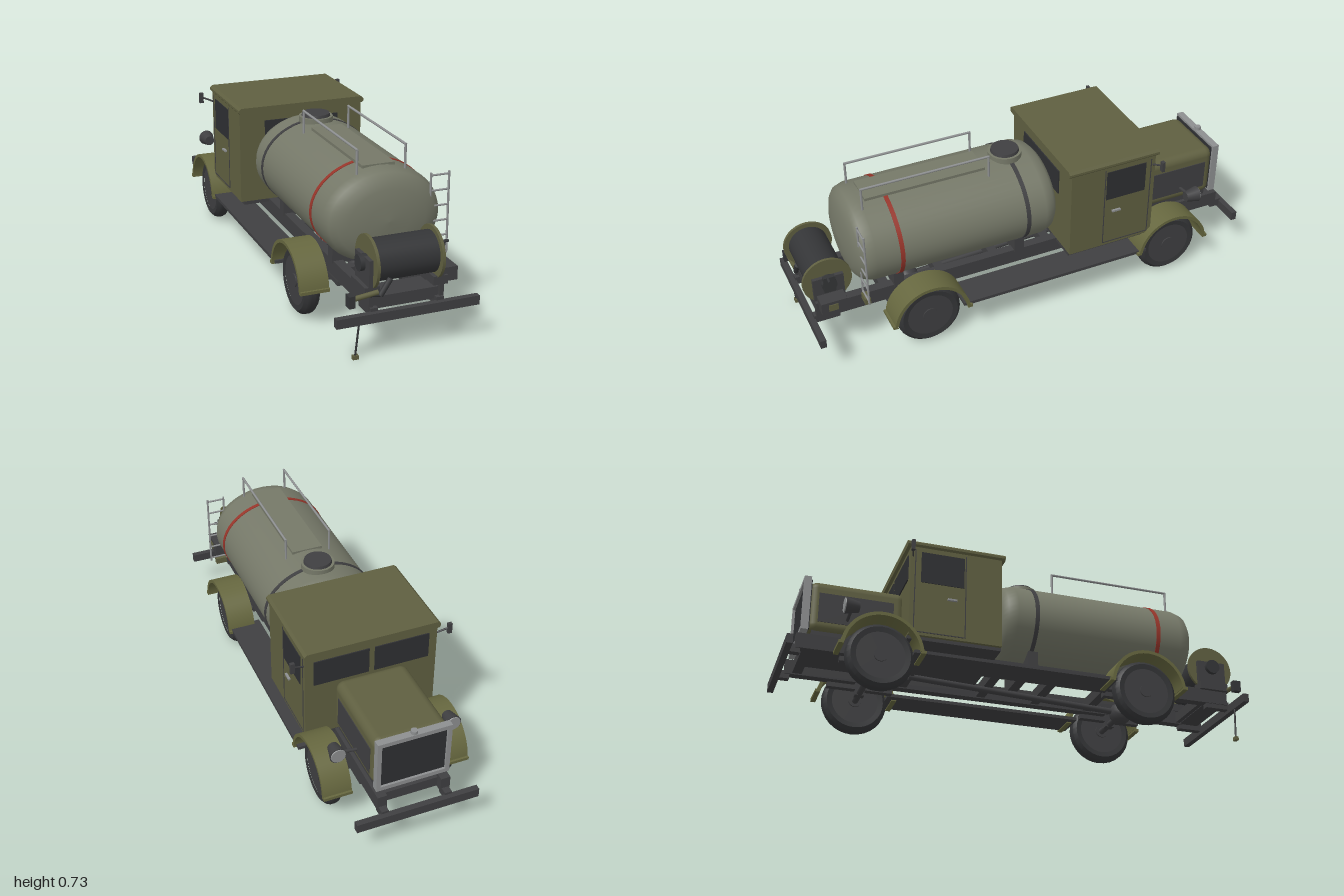
import * as THREE from 'three';
import { toCreasedNormals } from 'three/addons/utils/BufferGeometryUtils.js';
import { RoundedBoxGeometry } from 'three/addons/geometries/RoundedBoxGeometry.js';

const paint = (name, color) => Object.assign(new THREE.MeshStandardMaterial({ color }), { name });
const olive = paint('olive', 0x5f5f40);
const fenderOlive = paint('fender olive', 0x66673f);
const tankGrey = paint('tank grey green', 0x757868);
const dark = paint('chassis dark grey', 0x3f3f41);
const tyreMat = paint('tyre black', 0x343537);
const glass = paint('dark glass', 0x2e2f32);
const metal = paint('bare metal', 0x8d8f90);
const red = paint('red', 0x96352a);
fenderOlive.side = THREE.DoubleSide;

export function createModel() {
  const model = new THREE.Group();
  const V = (x, y, z) => new THREE.Vector3(x, y, z);
  const add = (name, geo, mat, x = 0, y = 0, z = 0) => {
    const m = new THREE.Mesh(geo, mat);
    m.name = name;
    m.position.set(x, y, z);
    model.add(m);
    return m;
  };
  // Box given by its minimum and maximum corners
  const box = (name, mat, x0, x1, y0, y1, z0, z1) =>
    add(name, new THREE.BoxGeometry(x1 - x0, y1 - y0, z1 - z0), mat, (x0 + x1) / 2, (y0 + y1) / 2, (z0 + z1) / 2);
  // Round bar between two points
  const rod = (name, mat, a, b, r, r2 = r, n = 12) => {
    const m = add(name, new THREE.CylinderGeometry(r2, r, a.distanceTo(b), n), mat);
    m.position.copy(a).add(b).multiplyScalar(0.5);
    m.quaternion.setFromUnitVectors(V(0, 1, 0), b.clone().sub(a).normalize());
    return m;
  };
  const lathe = (pts, n) => toCreasedNormals(new THREE.LatheGeometry(pts.map(p => new THREE.Vector2(...p)), n), 0.5);

  // Chassis rails, cross members and bumpers
  for (const s of [-1, 1]) {
    box('frameRail', dark, s * 0.135 - 0.02, s * 0.135 + 0.02, 0.185, 0.25, -0.95, 0.88);
    box('bumperBracket', dark, s * 0.135 - 0.015, s * 0.135 + 0.015, 0.165, 0.2, -0.98, -0.93);
    box('rearBumperBracket', dark, s * 0.135 - 0.015, s * 0.135 + 0.015, 0.165, 0.2, 0.86, 0.97);
    box('runningBoard', dark, s * 0.235 - 0.07, s * 0.235 + 0.07, 0.16, 0.174, -0.5, 0.37);
  }
  for (const z of [-0.9, -0.45, -0.1, 0.15, 0.4, 0.65, 0.86])
    box('crossMember', dark, -0.135, 0.135, 0.19, 0.235, z - 0.02, z + 0.02);
  box('frontBumper', dark, -0.26, 0.26, 0.15, 0.19, -1, -0.975);
  box('rearBumper', dark, -0.293, 0.293, 0.15, 0.187, 0.965, 0.99);

  // Axles, wheels and fenders
  const tyreProfile = [[0.1, -0.03], [0.122, -0.033], [0.136, -0.02], [0.14, -0.008], [0.14, 0.008], [0.136, 0.02], [0.122, 0.033], [0.1, 0.03]];
  const tyreGeo = lathe(tyreProfile, 32).rotateZ(-Math.PI / 2);
  const rimGeo = new THREE.CylinderGeometry(0.104, 0.104, 0.056, 28).rotateZ(Math.PI / 2);
  const hubGeo = new THREE.CylinderGeometry(0.028, 0.032, 0.066, 16).rotateZ(Math.PI / 2);
  const arch = new THREE.Shape();
  arch.absarc(0, 0, 0.168, 0.12, Math.PI - 0.12, false);
  arch.absarc(0, 0, 0.154, Math.PI - 0.12, 0.12, true);
  const fenderGeo = toCreasedNormals(new THREE.ExtrudeGeometry(arch, { depth: 0.122, bevelEnabled: false, curveSegments: 20 })
    .translate(0, 0, -0.061).rotateY(Math.PI / 2), 0.5);
  for (const z of [0.512, -0.63]) {
    rod('axle', dark, V(-0.23, 0.142, z), V(0.23, 0.142, z), 0.014);
    for (const s of [-1, 1]) {
      add('tyre', tyreGeo, tyreMat, s * 0.248, 0.143, z);
      add('rim', rimGeo, dark, s * 0.248, 0.143, z);
      add('hub', hubGeo, dark, s * 0.248, 0.143, z);
      add('fender', fenderGeo, fenderOlive, s * 0.256, 0.145, z);
      box('fenderFoot', fenderOlive, s * 0.256 - 0.061, s * 0.256 + 0.061, 0.155, 0.168, z - 0.176, z - 0.155);
      box('fenderFoot', fenderOlive, s * 0.256 - 0.061, s * 0.256 + 0.061, 0.155, 0.168, z + 0.155, z + 0.176);
      box('leafSpring', dark, s * 0.135 - 0.014, s * 0.135 + 0.014, 0.155, 0.175, z - 0.14, z + 0.14);
      box('springClamp', dark, s * 0.135 - 0.016, s * 0.135 + 0.016, 0.13, 0.19, z - 0.02, z + 0.02);
    }
  }
  add('differential', new THREE.SphereGeometry(0.05, 12, 8), dark, 0, 0.147, 0.512);
  rod('driveShaft', dark, V(0, 0.15, 0.5), V(0, 0.19, -0.45), 0.013);

  // Cab with overhanging roof
  box('cabBody', olive, -0.284, 0.284, 0.25, 0.658, -0.525, -0.13);
  const roof = new THREE.Shape();
  [[-0.284, 0.652], [0.284, 0.652], [0.291, 0.66], [0.291, 0.67], [0.28, 0.68], [-0.28, 0.68], [-0.291, 0.67], [-0.291, 0.66]]
    .forEach((p, i) => i ? roof.lineTo(...p) : roof.moveTo(...p));
  add('roof', new THREE.ExtrudeGeometry(roof, { depth: 0.424, bevelEnabled: false }), olive, 0, 0, -0.54);
  box('rearWindow', glass, -0.17, 0.17, 0.5, 0.613, -0.132, -0.125);
  for (const s of [-1, 1]) {
    box('windscreen', glass, s * 0.13 - 0.118, s * 0.13 + 0.118, 0.51, 0.625, -0.53, -0.523);
    box('sideWindow', glass, s * 0.284 - 0.003, s * 0.284 + 0.003, 0.49, 0.63, -0.48, -0.295);
    // Door outline
    for (const z of [-0.288, -0.505])
      box('doorSeam', dark, s * 0.284 - 0.002, s * 0.284 + 0.002, 0.262, 0.64, z - 0.002, z + 0.002);
    box('doorSeam', dark, s * 0.284 - 0.002, s * 0.284 + 0.002, 0.262, 0.266, -0.505, -0.288);
    box('doorHandle', metal, s * 0.288 - 0.006, s * 0.288 + 0.006, 0.422, 0.43, -0.365, -0.325);
    // Mirror on an arm
    rod('mirrorArm', dark, V(s * 0.28, 0.607, -0.515), V(s * 0.335, 0.63, -0.53), 0.004);
    box('mirror', dark, s * 0.337 - 0.009, s * 0.337 + 0.009, 0.604, 0.65, -0.536, -0.522);
  }
  box('cabSill', dark, -0.27, 0.27, 0.235, 0.252, -0.525, -0.13);

  // Bonnet with louvre panels and radiator
  add('bonnet', new RoundedBoxGeometry(0.31, 0.23, 0.4, 4, 0.035), olive, 0, 0.383, -0.71);
  box('engineBay', dark, -0.14, 0.14, 0.225, 0.29, -0.89, -0.53);
  for (const s of [-1, 1]) {
    box('bonnetPanel', dark, s * 0.155 - 0.003, s * 0.155 + 0.003, 0.31, 0.44, -0.87, -0.56);
    box('radiatorSide', metal, s * 0.146 - 0.009, s * 0.146 + 0.009, 0.27, 0.51, -0.935, -0.905);
    // Headlamp, bracket and lens
    rod('headlampBracket', dark, V(s * 0.14, 0.33, -0.75), V(s * 0.245, 0.345, -0.75), 0.007);
    rod('headlamp', dark, V(s * 0.247, 0.353, -0.72), V(s * 0.247, 0.353, -0.778), 0.022, 0.035, 20);
    rod('headlampLens', metal, V(s * 0.247, 0.353, -0.776), V(s * 0.247, 0.353, -0.782), 0.032, 0.03, 20);
  }
  for (const y of [0.279, 0.501]) box('radiatorBar', metal, -0.155, 0.155, y - 0.009, y + 0.009, -0.935, -0.905);
  box('radiatorCore', glass, -0.145, 0.145, 0.28, 0.5, -0.925, -0.9);
  rod('radiatorCap', metal, V(0, 0.505, -0.92), V(0, 0.525, -0.92), 0.014);

  // Elliptical tank, with bands following its section
  const ry = 0.192, rx = 0.243, cy = 0.458;
  const tankLathe = pts => lathe(pts, 48).rotateX(Math.PI / 2).scale(rx, ry, 1);
  const end = [[0, 0.07], [0.35, 0.066], [0.65, 0.055], [0.83, 0.04], [0.94, 0.02], [1, -0.02]];
  const tankPts = [...end.map(([r, d]) => [r, -0.06 - d]), ...end.map(([r, d]) => [r, 0.73 + d]).reverse()];
  const tankGeo = new THREE.LatheGeometry(tankPts.map(p => new THREE.Vector2(...p)), 48).rotateX(Math.PI / 2).scale(rx, ry, 1);
  add('tank', tankGeo, tankGrey, 0, cy, 0);
  const band = (name, mat, z, w, r) =>
    add(name, tankLathe([[0.98, -w], [r, -w], [r, w], [0.98, w]]), mat, 0, cy, z);
  band('redBand', red, 0.602, 0.009, 1.012);
  band('tankStrap', dark, 0.043, 0.009, 1.012);
  for (const z of [0.05, 0.6]) {
    box('tankSaddle', dark, -0.13, 0.13, 0.24, 0.285, z - 0.022, z + 0.022);
    for (const s of [-1, 1]) box('saddleFoot', dark, s * 0.135 - 0.025, s * 0.135 + 0.025, 0.24, 0.31, z - 0.022, z + 0.022);
  }

  // Filler hatch, walkway and handrails
  rod('hatchCollar', tankGrey, V(0, 0.63, 0.045), V(0, 0.668, 0.045), 0.072, 0.072, 28);
  rod('hatchLid', dark, V(0, 0.665, 0.045), V(0, 0.68, 0.045), 0.062, 0.058, 28);
  box('walkway', tankGrey, -0.068, 0.068, 0.643, 0.655, 0.165, 0.69);
  for (const s of [-1, 1]) {
    rod('handrail', metal, V(s * 0.1, 0.728, 0.158), V(s * 0.1, 0.728, 0.716), 0.005);
    for (const z of [0.162, 0.712]) rod('handrailPost', metal, V(s * 0.1, 0.63, z), V(s * 0.1, 0.73, z), 0.005);
  }

  // Rear ladder
  for (const x of [0.185, 0.262]) rod('ladderPost', metal, V(x, 0.28, 0.765), V(x, 0.618, 0.765), 0.0045);
  for (let i = 0; i < 6; i++) {
    const y = 0.295 + i * 0.0625;
    rod('ladderRung', metal, V(0.185, y, 0.765), V(0.262, y, 0.765), 0.004);
  }
  box('ladderFoot', olive, 0.19, 0.24, 0.262, 0.29, 0.75, 0.775);

  // Hose reel on its stand
  rod('hoseDrum', tyreMat, V(-0.13, 0.36, 0.895), V(0.13, 0.36, 0.895), 0.082, 0.082, 32);
  for (const s of [-1, 1]) {
    rod('reelFlange', olive, V(s * 0.126, 0.357, 0.895), V(s * 0.138, 0.357, 0.895), 0.104, 0.104, 32);
    box('reelStand', dark, s * 0.145 - 0.009, s * 0.145 + 0.009, 0.185, 0.385, 0.83, 0.96);
    rod('reelHub', tyreMat, V(s * 0.13, 0.357, 0.895), V(s * 0.172, 0.357, 0.895), 0.032, 0.032, 20);
    box('standFoot', dark, s * 0.14 - 0.03, s * 0.14 + 0.03, 0.245, 0.28, 0.83, 0.96);
  }
  box('standBeam', dark, -0.155, 0.155, 0.187, 0.235, 0.86, 0.95);
  box('pumpBox', dark, 0.15, 0.215, 0.25, 0.305, 0.84, 0.95);
  box('pumpPlate', olive, 0.213, 0.218, 0.262, 0.292, 0.88, 0.92);
  box('valve', tyreMat, 0.155, 0.174, 0.325, 0.398, 0.87, 0.92);
  rod('valveKnob', tyreMat, V(0.17, 0.392, 0.9), V(0.197, 0.392, 0.9), 0.006);
  // Crank and hose nozzle
  rod('nozzlePipe', olive, V(-0.215, 0.248, 0.965), V(-0.12, 0.26, 0.965), 0.01);
  box('nozzle', tyreMat, -0.242, -0.218, 0.22, 0.268, 0.95, 0.985);
  rod('hoseEnd', tyreMat, V(-0.16, 0.253, 0.965), V(-0.105, 0.247, 0.965), 0.007);
  rod('hoseEnd', tyreMat, V(-0.11, 0.245, 0.965), V(-0.07, 0.307, 0.965), 0.011);

  // Earthing chain with weight
  rod('earthChain', tyreMat, V(-0.196, 0.16, 0.972), V(-0.206, 0.012, 0.96), 0.004);
  box('chainWeight', olive, -0.217, -0.194, 0, 0.016, 0.952, 0.968);
  return model;
}
